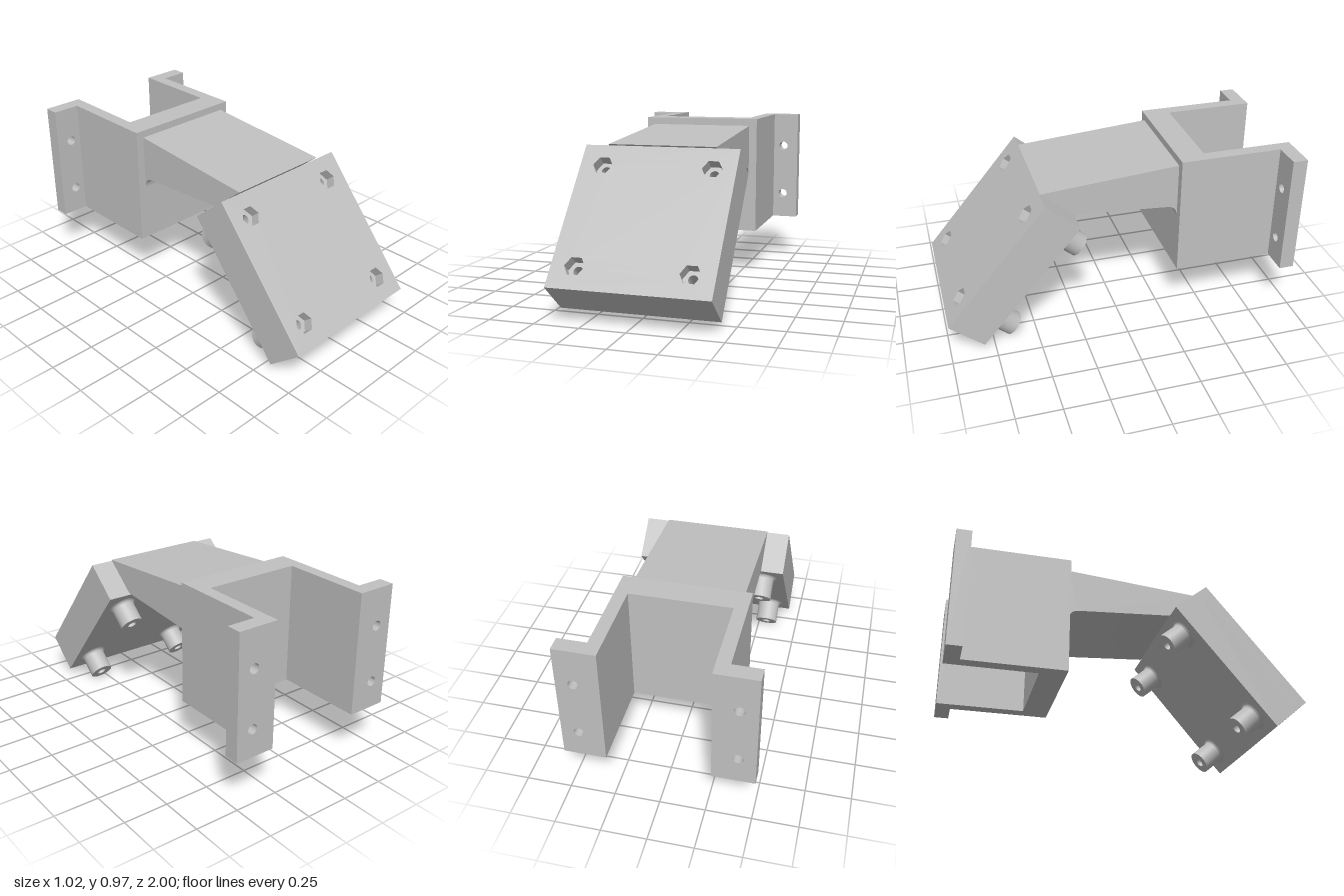
import * as THREE from 'three';
import { toCreasedNormals } from 'three/addons/utils/BufferGeometryUtils.js';

const polygon = (pts) => new THREE.Shape(pts.map(([x, y]) => new THREE.Vector2(x, y)));

// Regular outline used for round (many sides) and hexagonal (six sides) holes
function ring(cx, cy, r, sides) {
  const pts = [];
  for (let i = 0; i < sides; i++) {
    const a = (i / sides) * Math.PI * 2;
    pts.push(new THREE.Vector2(cx + r * Math.cos(a), cy + r * Math.sin(a)));
  }
  return new THREE.Path(pts);
}

function rectangle(x0, x1, y0, y1) {
  return polygon([[x0, y0], [x1, y0], [x1, y1], [x0, y1]]);
}

function extrude(shape, depth) {
  return new THREE.ExtrudeGeometry(shape, { depth, bevelEnabled: false, curveSegments: 10 });
}

export function createModel() {
  const model = new THREE.Group();
  model.name = 'mountingBracket';
  const grey = new THREE.MeshStandardMaterial({ color: 0xc0c0c0 });
  grey.name = 'light grey';

  function add(parent, name, geometry) {
    const mesh = new THREE.Mesh(toCreasedNormals(geometry, 0.6), grey);
    mesh.name = name;
    parent.add(mesh);
    return mesh;
  }

  // U-shaped channel, drawn in plan (x, -z) and raised along y
  const bottom = 0.277, top = 0.972;
  const channel = extrude(polygon([
    [-0.352, 0.338], [0.352, 0.338], [0.352, 0.915], [0.28, 0.915],
    [0.28, 0.488], [-0.28, 0.488], [-0.28, 0.915], [-0.352, 0.915],
  ]), top - bottom);
  channel.rotateX(-Math.PI / 2).translate(0, bottom, 0);
  add(model, 'channel', channel);

  // Drilled flanges at the back of the channel
  for (const side of [-1, 1]) {
    const xs = [0.28 * side, 0.51 * side].sort((a, b) => a - b);
    const shape = rectangle(xs[0], xs[1], bottom, top);
    for (const y of [0.435, 0.76]) shape.holes.push(ring(0.415 * side, y, 0.028, 28));
    add(model, side > 0 ? 'leftFlange' : 'rightFlange', extrude(shape, 0.085).translate(0, 0, -1));
  }

  // Tapered arm, drawn in side profile (z, y), with a fillet under its root
  const profile = new THREE.Shape();
  profile.moveTo(0.44, 0.87);
  profile.lineTo(-0.338, 0.93);
  profile.lineTo(-0.338, 0.615);
  profile.quadraticCurveTo(-0.335, 0.672, -0.28, 0.677);
  profile.lineTo(0.255, 0.718);
  const arm = extrude(profile, 0.61);
  arm.translate(0, 0, -0.305).rotateY(-Math.PI / 2);
  add(model, 'arm', arm);

  // Tilted plate group: local z points out of the front face
  const head = new THREE.Group();
  head.name = 'tiltedPlate';
  head.position.set(0, 0.53, 0.72);
  head.rotation.x = THREE.MathUtils.degToRad(-40);
  model.add(head);

  const half = 0.435, thick = 0.245, pocket = 0.06, bore = 0.026, spread = 0.305;
  const spots = [[-1, -1], [1, -1], [1, 1], [-1, 1]].map(([x, y]) => [x * spread, y * spread]);

  // Front layer holds hexagonal pockets, back layer the narrower bores
  const face = rectangle(-half, half, -half, half);
  const backing = rectangle(-half, half, -half, half);
  for (const [x, y] of spots) {
    face.holes.push(ring(x, y, 0.056, 6));
    backing.holes.push(ring(x, y, bore, 28));
  }
  add(head, 'plateFace', extrude(face, pocket).translate(0, 0, -pocket));
  add(head, 'plateBacking', extrude(backing, thick - pocket).translate(0, 0, -thick));

  // Hollow standoffs with a small flare where they meet the plate
  const tip = -0.377, r = 0.068, flare = 0.022;
  const section = [[bore, -thick], [bore, tip], [r, tip]];
  for (let i = 0; i <= 6; i++) {
    const a = (i / 6) * Math.PI / 2;
    section.push([r + flare * (1 - Math.cos(a)), -thick - flare * (1 - Math.sin(a))]);
  }
  const points = section.map(([x, y]) => new THREE.Vector2(x, y));
  spots.forEach(([x, y], i) => {
    const standoff = new THREE.LatheGeometry(points, 28);
    standoff.rotateX(Math.PI / 2).translate(x, y, 0);
    add(head, 'standoff' + (i + 1), standoff);
  });

  return model;
}
